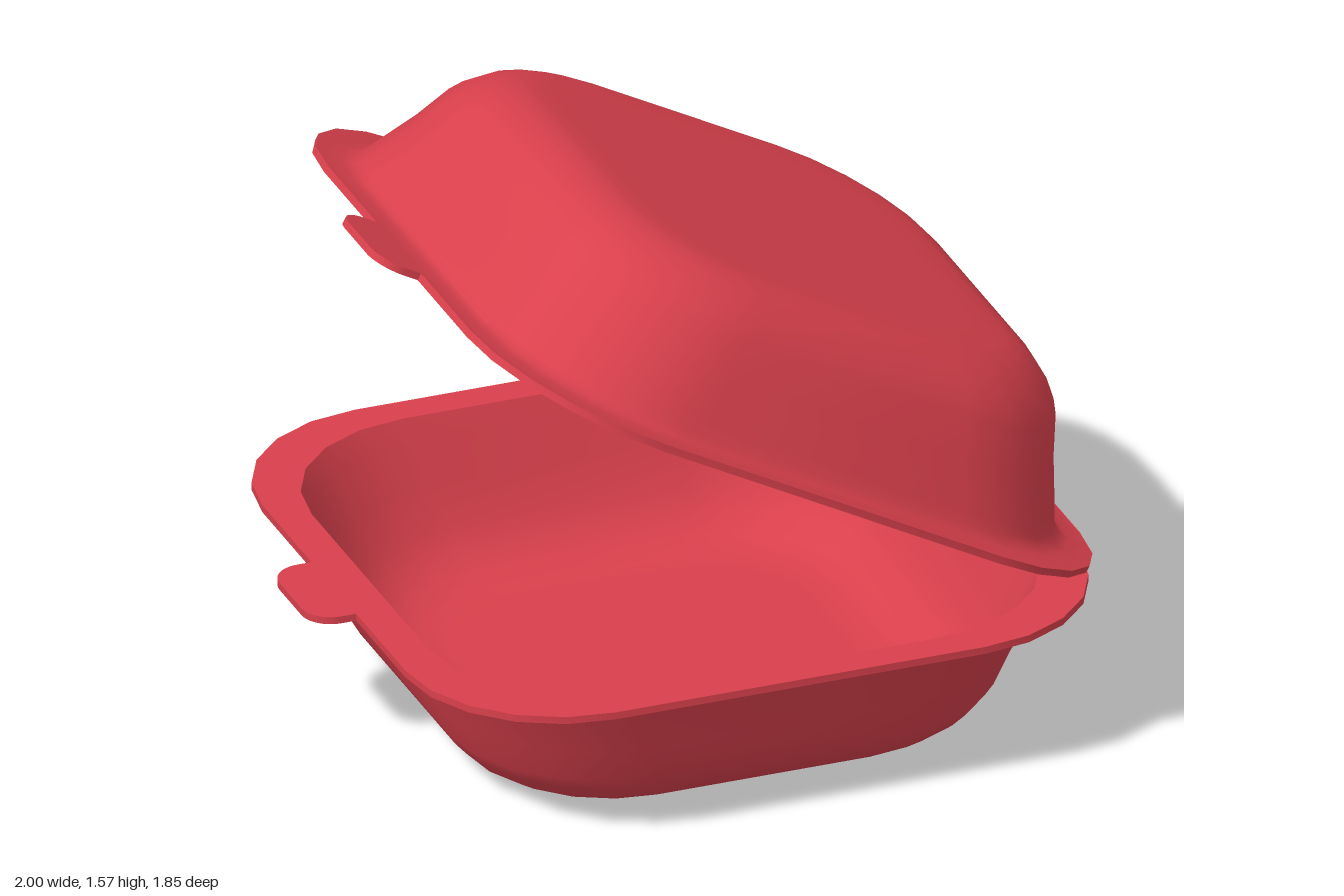
import * as THREE from 'three';
import { toCreasedNormals } from 'three/addons/utils/BufferGeometryUtils.js';

const material = new THREE.MeshStandardMaterial({ color: 0xd9404c });
const CORNER_STEPS = 5, CENTRE_X = 0.05, RIM_TOP = 0.425, RIM_LOW = 0.405, HINGE_X = 0.98;

// Shell section: [inset from rim edge, height, corner radius],
// from the inner floor, over the rim and down to the outer floor
const SECTION = [
  [1.1, 0.02, 0], [0.46, 0.02, 0.24], [0.37, 0.02, 0.3], [0.305, 0.043, 0.34], [0.25, 0.085, 0.38],
  [0.21, 0.14, 0.4], [0.165, 0.25, 0.41], [0.125, 0.36, 0.42], [0.1, RIM_TOP, 0.42],
  [0, RIM_TOP, 0.42], [0, RIM_LOW, 0.42],
  [0.055, RIM_LOW, 0.42], [0.078, 0.398, 0.42], [0.092, 0.38, 0.42], [0.103, 0.35, 0.42],
  [0.15, 0.23, 0.42], [0.185, 0.13, 0.41], [0.205, 0.095, 0.4], [0.24, 0.055, 0.38],
  [0.285, 0.024, 0.35], [0.33, 0.006, 0.32], [0.37, 0, 0.3], [0.46, 0, 0.24], [1.1, 0, 0],
];

// Rounded rectangle loop at one height
function loop([inset, y, radius]) {
  const hx = Math.max(0, 0.93 - inset), hz = Math.max(0, 0.925 - inset * 0.92);
  const r = Math.min(radius, hx, hz), points = [];
  const signs = [[1, 1], [-1, 1], [-1, -1], [1, -1]];
  signs.forEach(([sx, sz], corner) => {
    for (let k = 0; k <= CORNER_STEPS; k++) {
      const a = (corner + k / CORNER_STEPS) * Math.PI / 2;
      points.push(CENTRE_X + sx * (hx - r) + r * Math.cos(a), y, sz * (hz - r) + r * Math.sin(a));
    }
  });
  return points;
}

// Skin the loops into one closed thin-walled shell
function shellGeometry() {
  const n = 4 * (CORNER_STEPS + 1), index = [];
  for (let i = 0; i < SECTION.length - 1; i++) {
    for (let j = 0; j < n; j++) {
      const k = (j + 1) % n;
      const a = i * n + j, b = i * n + k, c = b + n, d = a + n;
      if (i > 0) index.push(a, b, d);
      if (i < SECTION.length - 2) index.push(b, c, d);
      if (i === 0) index.push(b, c, d);
      if (i === SECTION.length - 2) continue;
    }
  }
  const geometry = new THREE.BufferGeometry();
  geometry.setAttribute('position', new THREE.Float32BufferAttribute(SECTION.flatMap(loop), 3));
  geometry.setIndex(index);
  return toCreasedNormals(geometry, 0.65);
}

// Finger tab with rounded outer corners, lying flat at rim height
function tabGeometry() {
  const r = 0.08, end = -1, w = 0.158;
  const shape = new THREE.Shape();
  shape.moveTo(-0.87, -w);
  shape.lineTo(-0.87, w);
  shape.lineTo(end + r, w);
  shape.absarc(end + r, w - r, r, Math.PI / 2, Math.PI, false);
  shape.absarc(end + r, -w + r, r, Math.PI, Math.PI * 1.5, false);
  const geometry = new THREE.ExtrudeGeometry(shape, { depth: RIM_TOP - RIM_LOW, bevelEnabled: false, curveSegments: 5 });
  geometry.rotateX(-Math.PI / 2);
  geometry.translate(0, RIM_LOW, 0);
  return toCreasedNormals(geometry, 0.65);
}

function makeHalf(name) {
  const half = new THREE.Group();
  half.name = name;
  const shell = new THREE.Mesh(shellGeometry(), material);
  shell.name = name + 'Shell';
  const tab = new THREE.Mesh(tabGeometry(), material);
  tab.name = name + 'Tab';
  half.add(shell, tab);
  return half;
}

export function createModel() {
  const model = new THREE.Group();
  model.name = 'hingedFoodBox';
  model.add(makeHalf('tray'));

  // Lid: the same shell upside down, swung open about the hinge edge
  const lidPivot = new THREE.Group();
  lidPivot.name = 'lidPivot';
  lidPivot.position.set(HINGE_X, 0.455, 0);
  lidPivot.rotation.z = -THREE.MathUtils.degToRad(28.1);
  const lid = makeHalf('lid');
  const stretch = 1.03;
  lid.scale.x = stretch;
  lid.rotation.x = Math.PI;
  lid.position.set(-HINGE_X * stretch, RIM_TOP, 0);
  lidPivot.add(lid);
  model.add(lidPivot);

  // Two hinge strips joining the rims
  for (const side of [-1, 1]) {
    const hinge = new THREE.Mesh(new THREE.BoxGeometry(0.025, 0.05, 0.21), material);
    hinge.name = side > 0 ? 'frontHinge' : 'rearHinge';
    hinge.position.set(0.9875, 0.435, side * 0.375);
    model.add(hinge);
  }
  return model;
}
